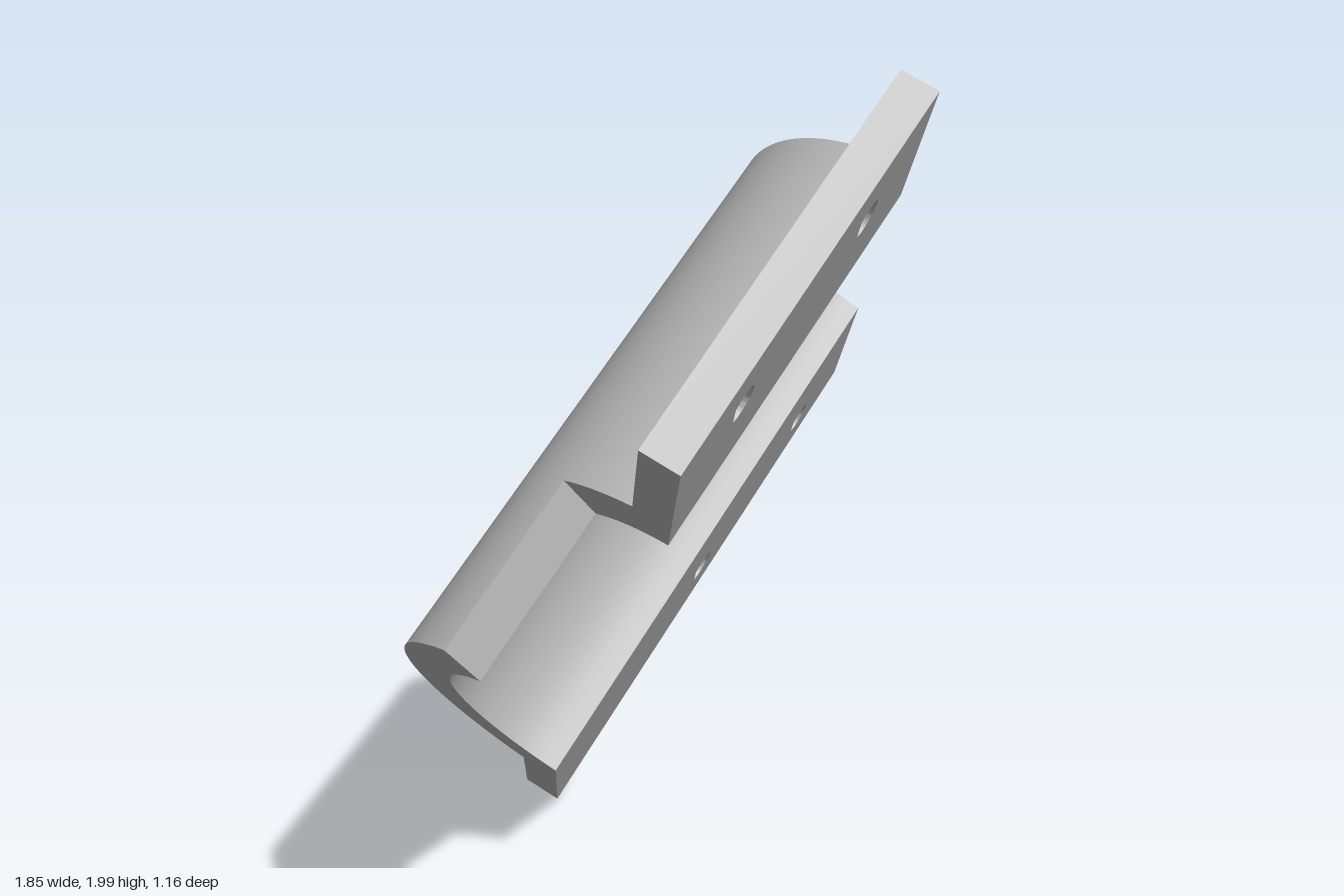
import * as THREE from 'three';
import { toCreasedNormals } from 'three/addons/utils/BufferGeometryUtils.js';

const INNER = 0.327, OUTER = 0.458;        // saddle radii
const FACE = 0.027, BACK = 0.13;           // flange faces, measured from the bore axis
const HALF_WIDTH = 0.79, HOLE_X = 0.612;
const LOW = -0.145, NOTCH = 0.336, TOP = 1.455; // stations along the bore axis
const TILT = 0.757;                        // roll of the clamp about its axis

export function createModel() {
  const clamp = new THREE.Group();
  clamp.name = 'pipeClamp';
  const grey = new THREE.MeshStandardMaterial({ color: 0xc0c0c0 });
  grey.name = 'grey';

  const add = (name, shape, depth, curveSegments) => {
    const geo = new THREE.ExtrudeGeometry(shape, { depth, bevelEnabled: false, curveSegments });
    const mesh = new THREE.Mesh(toCreasedNormals(geo, 0.5), grey);
    mesh.name = name;
    clamp.add(mesh);
    return mesh;
  };

  // Curved saddle: a ring sector with separate end angles for bore and outside
  const saddle = (name, outer0, outer1, inner0, inner1, from, to) => {
    const s = new THREE.Shape();
    s.absarc(0, 0, OUTER, outer0, outer1, false);
    s.absarc(0, 0, INNER, inner1, inner0, true);
    s.closePath();
    add(name, s, to - from, 48).position.z = from;
  };
  const outerEnd = Math.asin(BACK / OUTER), innerEnd = Math.asin(FACE / INNER);
  const split = Math.PI - TILT;
  saddle('longSaddle', outerEnd, split, innerEnd, split, LOW, TOP);
  saddle('shortSaddle', split, Math.PI - outerEnd, split, Math.PI - innerEnd, NOTCH, TOP);

  // Teardrop bolt hole, its 90 degree point toward the low end
  const teardrop = (x, y, r) => {
    const h = new THREE.Path();
    h.moveTo(x, y - r * Math.SQRT2);
    h.absarc(x, y, r, -Math.PI / 4, Math.PI * 5 / 4, false);
    h.closePath();
    return h;
  };

  // Flat flanges on both sides of the saddle
  const edge = Math.sqrt(INNER * INNER - FACE * FACE);
  for (const [name, side, low] of [['longFlange', 1, LOW], ['shortFlange', -1, NOTCH]]) {
    const a = Math.min(side * edge, side * HALF_WIDTH);
    const b = Math.max(side * edge, side * HALF_WIDTH);
    const s = new THREE.Shape();
    s.moveTo(a, low);
    s.lineTo(b, low);
    s.lineTo(b, TOP);
    s.lineTo(a, TOP);
    s.closePath();
    for (const y of [0.616, 1.177]) s.holes.push(teardrop(side * HOLE_X, y, 0.05));
    const plate = add(name, s, BACK - FACE, 24);
    plate.rotation.x = Math.PI / 2;
    plate.position.y = BACK;
  }

  // Lean the bore axis 45 degrees in the front plane and roll the clamp about it
  const across = new THREE.Vector3(1, -1, 0).normalize();
  const front = new THREE.Vector3(0, 0, 1);
  const axis = new THREE.Vector3(1, 1, 0).normalize();
  const c = Math.cos(TILT), s = Math.sin(TILT);
  const width = across.clone().multiplyScalar(c).addScaledVector(front, -s);
  const back = across.clone().multiplyScalar(-s).addScaledVector(front, -c);
  clamp.quaternion.setFromRotationMatrix(new THREE.Matrix4().makeBasis(width, back, axis));
  clamp.position.copy(across).multiplyScalar(-0.705).addScaledVector(front, 0.053);

  const model = new THREE.Group();
  model.name = 'clampModel';
  model.add(clamp);
  return model;
}
